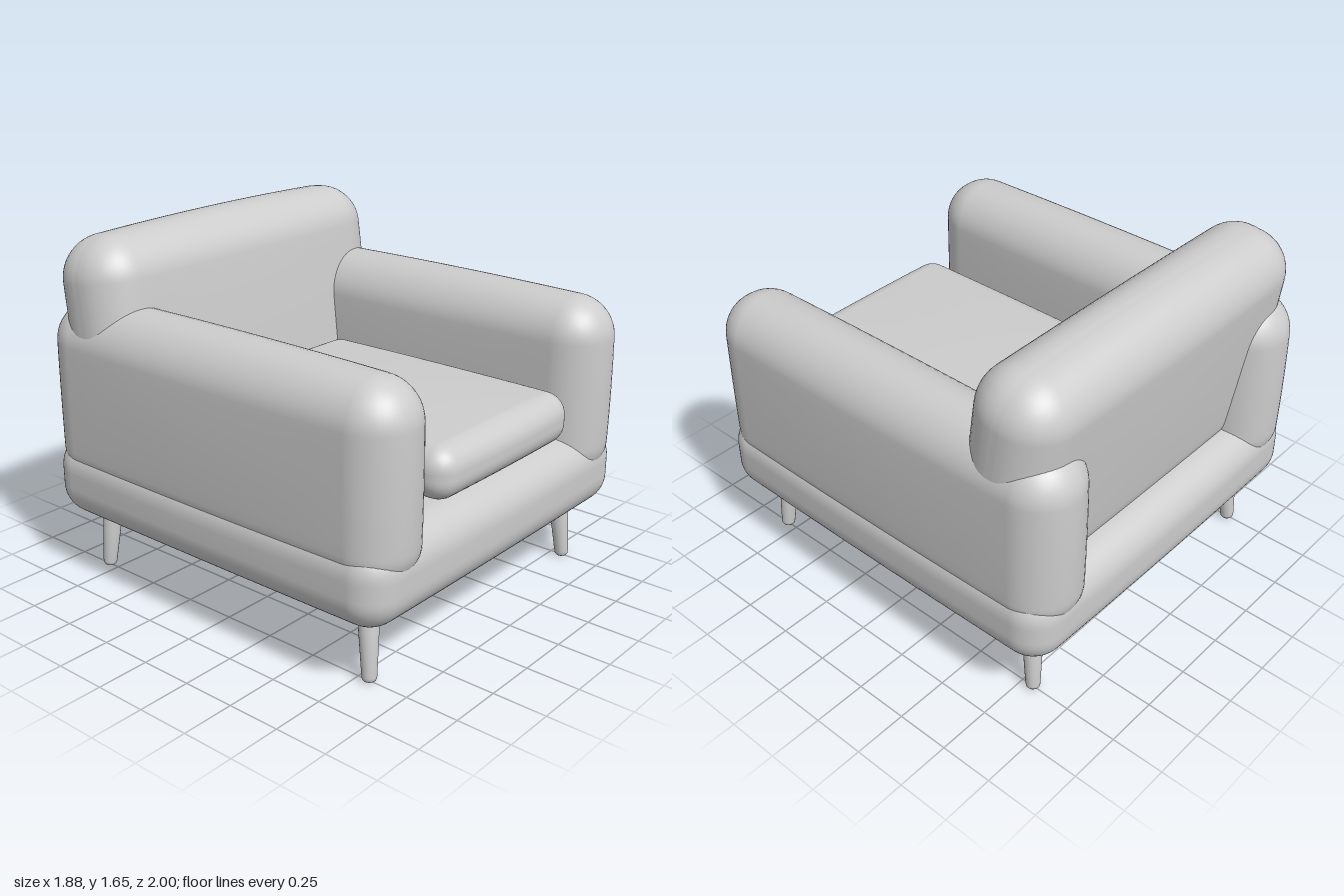
import * as THREE from 'three';
import { mergeVertices } from 'three/addons/utils/BufferGeometryUtils.js';

const upholstery = new THREE.MeshStandardMaterial({ color: 0xcccccc });
upholstery.name = 'light grey';

// Upholstered block: rounded box of radius r whose faces swell by "bulge" at their centres.
function softBox(w, h, d, r, bulge) {
  const edge = 6, middle = 10, n = edge * 2 + middle;
  const half = [w / 2 - bulge[0], h / 2 - bulge[1], d / 2 - bulge[2]];
  const geo = new THREE.BoxGeometry(1, 1, 1, n, n, n);
  geo.deleteAttribute('uv');
  geo.deleteAttribute('normal');
  const pos = geo.attributes.position;
  const v = [0, 0, 0];
  for (let i = 0; i < pos.count; i++) {
    // concentrate the segments in the rounded edges
    const p = [pos.getX(i), pos.getY(i), pos.getZ(i)].map((u, a) => {
      const k = Math.round((u + 0.5) * n), core = half[a] - r;
      if (k < edge) return -core - r * Math.tan((1 - k / edge) * Math.PI / 4);
      if (k > n - edge) return core + r * Math.tan((1 - (n - k) / edge) * Math.PI / 4);
      return -core + 2 * core * (k - edge) / middle;
    });
    // round the corners
    const c = p.map((u, a) => THREE.MathUtils.clamp(u, r - half[a], half[a] - r));
    const len = Math.hypot(p[0] - c[0], p[1] - c[1], p[2] - c[2]) || 1;
    for (let a = 0; a < 3; a++) v[a] = c[a] + (p[a] - c[a]) / len * r;
    // swell the faces
    const t = v.map((u, a) => u / half[a]);
    const f = t.map(u => 1 - u * u);
    pos.setXYZ(i,
      v[0] + bulge[0] * t[0] * f[1] * f[2],
      v[1] + bulge[1] * t[1] * f[0] * f[2],
      v[2] + bulge[2] * t[2] * f[0] * f[1]);
  }
  const merged = mergeVertices(geo, 1e-4);
  merged.computeVertexNormals();
  return merged;
}

function addPart(group, name, geometry, x, y, z) {
  const mesh = new THREE.Mesh(geometry, upholstery);
  mesh.name = name;
  mesh.position.set(x, y, z);
  group.add(mesh);
  return mesh;
}

export function createModel() {
  const model = new THREE.Group();
  model.name = 'armchair';

  // Base block and loose seat cushion
  addPart(model, 'base', softBox(1.88, 0.43, 1.98, 0.15, [0.012, 0.018, 0.012]), 0, 0.49, 0);
  addPart(model, 'seatCushion', softBox(1.0, 0.28, 1.4, 0.1, [0.012, 0.02, 0.012]), 0, 0.84, 0.28);

  // Backrest leaning slightly backwards
  const back = addPart(model, 'backrest', softBox(1.82, 1.1, 0.45, 0.19, [0.012, 0.02, 0.012]), 0, 1.1, -0.685);
  back.rotation.x = -0.13;

  // Arms
  const armGeometry = softBox(0.42, 0.91, 2.0, 0.185, [0.018, 0.015, 0.012]);
  for (const s of [1, -1]) {
    addPart(model, s > 0 ? 'leftArm' : 'rightArm', armGeometry, s * 0.725, 0.885, 0);
  }

  // Tapered, splayed legs with softly rounded feet
  const profile = [[0, 0], [0.025, 0], [0.031, 0.008], [0.033, 0.02], [0.05, 0.34], [0, 0.34]]
    .map(([x, y]) => new THREE.Vector2(x, y));
  const legGeometry = new THREE.LatheGeometry(profile, 24);
  for (const sx of [1, -1]) {
    for (const sz of [1, -1]) {
      const name = (sz > 0 ? 'front' : 'back') + (sx > 0 ? 'Left' : 'Right') + 'Leg';
      const leg = addPart(model, name, legGeometry, sx * 0.75, 0.003, sz * 0.808);
      leg.rotation.set(-sz * 0.08, 0, sx * 0.07);
    }
  }
  return model;
}
